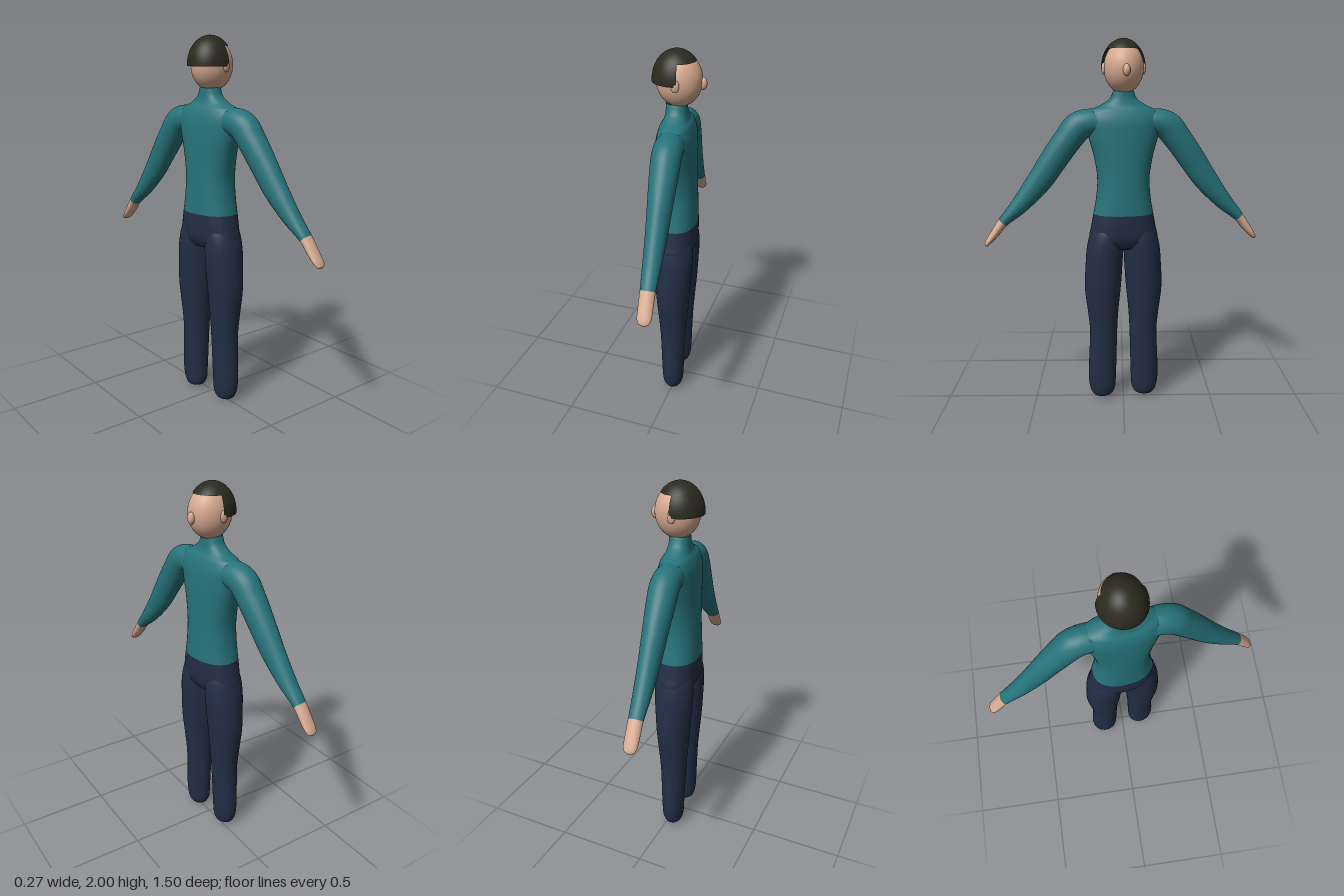
import * as THREE from 'three';

const mat = (name, color) => Object.assign(new THREE.MeshStandardMaterial({ color, side: THREE.DoubleSide }), { name });

// Smooth skin through sections [x, y, z, halfDepthX, halfAcross]; draws only the span t0..t1.
// Rings hold the x axis and stand across the path; power > 2 squares the ring a little.
function loft(sections, { power = 2, t0 = 0, t1 = 1, rows = 48, sides = 40 } = {}) {
  const path = new THREE.CatmullRomCurve3(sections.map(([x, y, z]) => new THREE.Vector3(x, y, z)));
  const size = new THREE.CatmullRomCurve3(sections.map(([, y, , a, b]) => new THREE.Vector3(a, b, y)));
  const u = new THREE.Vector3(1, 0, 0);
  const bend = (c) => Math.sign(c) * Math.abs(c) ** (2 / power);
  const pos = [], index = [];
  for (let i = 0; i <= rows; i++) {
    const t = t0 + (t1 - t0) * i / rows;
    const c = path.getPoint(t), r = size.getPoint(t);
    const v = path.getTangent(t).setX(0).normalize().cross(u);
    for (let j = 0; j < sides; j++) {
      const a = j / sides * Math.PI * 2;
      const p = c.clone()
        .addScaledVector(u, bend(Math.cos(a)) * Math.max(r.x, 0.0005))
        .addScaledVector(v, bend(Math.sin(a)) * Math.max(r.y, 0.0005));
      pos.push(p.x, p.y, p.z);
      if (i < rows) {
        const k = i * sides, n = (j + 1) % sides;
        index.push(k + j, k + n, k + sides + j, k + n, k + sides + n, k + sides + j);
      }
    }
  }
  const g = new THREE.BufferGeometry();
  g.setAttribute('position', new THREE.Float32BufferAttribute(pos, 3));
  g.setIndex(index);
  g.computeVertexNormals();
  return g;
}

export function createModel() {
  const skin = mat('skin', 0xd6a98f);
  const shirt = mat('shirt teal', 0x26737a);
  const trousers = mat('trouser navy', 0x232e45);
  const hair = mat('hair dark', 0x2b2a1f);

  const model = new THREE.Group();
  model.name = 'person';
  // The figure faces +x and is turned slightly about the upright axis
  const figure = new THREE.Group();
  figure.name = 'figure';
  figure.position.x = -0.015;
  figure.rotation.y = 0.12;
  model.add(figure);

  const add = (name, geometry, material) => {
    const m = new THREE.Mesh(geometry, material);
    m.name = name;
    figure.add(m);
    return m;
  };
  const ball = (name, material, p, r, ...arc) => {
    const m = add(name, new THREE.SphereGeometry(1, 48, 32, ...arc), material);
    m.position.set(...p);
    m.scale.set(...r);
    return m;
  };

  // Trunk from crotch to collar, divided at the waist
  const trunk = [
    [0, 0.865, 0, 0.01, 0.03], [0, 0.89, 0, 0.08, 0.15], [0, 0.94, 0, 0.107, 0.188], [0, 1.0, 0, 0.113, 0.178],
    [0, 1.075, 0, 0.113, 0.164],
    [0, 1.16, 0, 0.111, 0.149], [0, 1.27, 0, 0.108, 0.142], [0, 1.39, 0, 0.105, 0.16],
    [0, 1.5, 0, 0.101, 0.19], [0, 1.58, 0, 0.094, 0.204], [0, 1.63, 0, 0.078, 0.18],
    [0, 1.655, 0, 0.063, 0.125], [0, 1.69, 0, 0.055, 0.073], [0, 1.735, 0, 0.053, 0.052],
  ];
  const waist = 4 / (trunk.length - 1);
  add('hips', loft(trunk, { power: 2.3, t1: waist }), trousers);
  add('torso', loft(trunk, { power: 2.3, t0: waist }), shirt);

  for (const [side, s] of [['left', -1], ['right', 1]]) {
    const mirror = (list) => list.map(([x, y, z, a, b]) => [x, y, z * s, a, b]);

    // Arm from inside the shoulder to the fingertips, divided at the cuff
    const arm = mirror([
      [0, 1.56, 0.1, 0.07, 0.07], [0, 1.566, 0.18, 0.073, 0.073], [0, 1.545, 0.24, 0.074, 0.078],
      [0, 1.475, 0.3, 0.071, 0.075], [0, 1.37, 0.376, 0.063, 0.072], [0, 1.258, 0.454, 0.055, 0.066],
      [0, 1.13, 0.562, 0.046, 0.047], [0, 1.04, 0.653, 0.038, 0.028],
      [0, 0.98, 0.698, 0.037, 0.023], [0, 0.935, 0.734, 0.034, 0.016],
      [0, 0.918, 0.747, 0.024, 0.01], [0, 0.912, 0.752, 0.001, 0.001],
    ]);
    const cuff = 7 / (arm.length - 1);
    add(side + 'Sleeve', loft(arm, { t1: cuff }), shirt);
    add(side + 'Hand', loft(arm, { t0: cuff, rows: 24 }), skin);

    // Trouser leg with a rounded foot end
    add(side + 'Leg', loft(mirror([
      [0, 1.05, 0.075, 0.07, 0.06], [0, 0.97, 0.09, 0.1, 0.088], [0, 0.88, 0.102, 0.106, 0.1],
      [0, 0.78, 0.109, 0.101, 0.102], [0, 0.65, 0.116, 0.093, 0.1], [0, 0.52, 0.115, 0.083, 0.086],
      [0, 0.4, 0.113, 0.074, 0.077], [0, 0.25, 0.118, 0.067, 0.078], [0, 0.12, 0.122, 0.062, 0.078],
      [0, 0.05, 0.119, 0.057, 0.07], [0, 0.015, 0.117, 0.043, 0.05], [0, 0, 0.116, 0.001, 0.001],
    ])), trousers);

    ball(side + 'Ear', skin, [0.012, 1.845, 0.105 * s], [0.021, 0.031, 0.012]);
  }

  // Head and nose
  ball('head', skin, [0.012, 1.85, 0], [0.116, 0.133, 0.105]);
  ball('nose', skin, [0.131, 1.837, 0], [0.019, 0.031, 0.019]);

  // Hair: a cap over the crown and a band round the back of the head
  const hairAt = [0, 1.85, 0], hairSize = [0.124, 0.15, 0.117];
  const brow = Math.acos(0.095 / 0.15), nape = Math.acos(-0.007 / 0.15);
  const reach = Math.PI / 2 + 0.17;
  ball('hairCrown', hair, hairAt, hairSize, 0, Math.PI * 2, 0, brow);
  ball('hairBack', hair, hairAt, hairSize, -reach, reach * 2, brow, nape - brow);

  return model;
}
